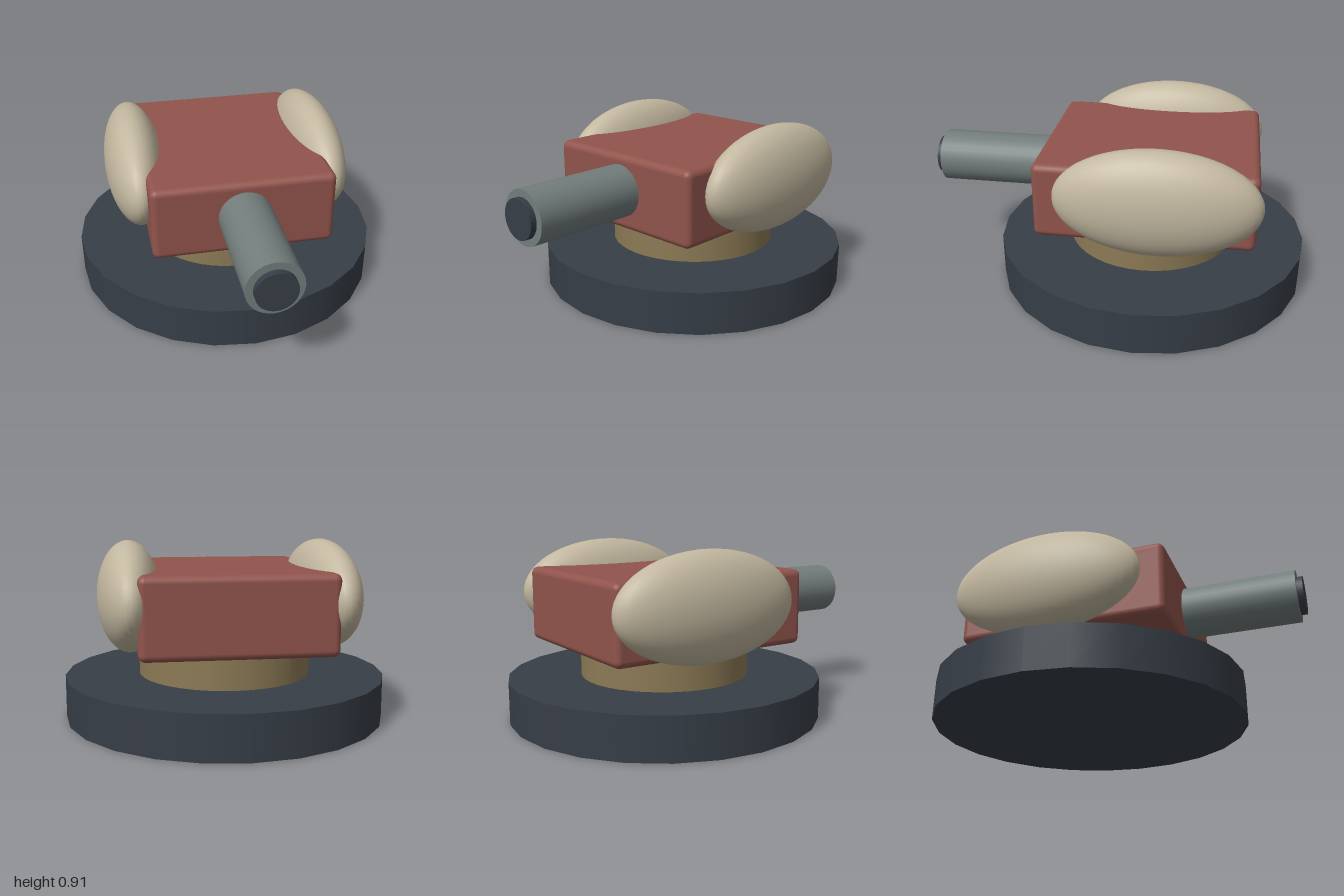
import * as THREE from 'three';
import { RoundedBoxGeometry } from 'three/addons/geometries/RoundedBoxGeometry.js';

const material = (name, color) => {
  const m = new THREE.MeshStandardMaterial({ color });
  m.name = name;
  return m;
};

export function createModel() {
  const group = new THREE.Group();
  const slate = material('dark slate', 0x373e47);
  const brass = material('dull brass', 0x8c7a55);
  const red = material('brick red', 0x91544c);
  const steel = material('grey steel', 0x727d7c);
  const cream = material('sand cream', 0xc2b79f);

  const add = (name, geometry, mat, x, y, z) => {
    const mesh = new THREE.Mesh(geometry, mat);
    mesh.name = name;
    mesh.position.set(x, y, z);
    group.add(mesh);
    return mesh;
  };

  // Cylinder lying along z, between two z positions
  const rod = (name, radius, z0, z1, mat) =>
    add(name, new THREE.CylinderGeometry(radius, radius, z1 - z0, 32).rotateX(Math.PI / 2),
      mat, 0, 0.592, (z0 + z1) / 2);

  const centreZ = -0.174;

  // Foot disc and swivel ring
  add('base', new THREE.CylinderGeometry(0.826, 0.826, 0.218, 24), slate, 0, 0.109, centreZ);
  add('swivelRing', new THREE.CylinderGeometry(0.445, 0.445, 0.2, 40), brass, 0, 0.3, centreZ);

  // Turret body with softened edges
  add('turretBody', new RoundedBoxGeometry(0.94, 0.392, 1.106, 4, 0.035), red, 0, 0.581, -0.176);

  // Barrel with a dark plug standing out of the muzzle
  rod('barrel', 0.137, 0.2, 0.969, steel);
  rod('muzzlePlug', 0.1, 0.9, 1.0, slate);

  // Ellipsoid side pods
  for (const [name, side] of [['leftPod', 1], ['rightPod', -1]]) {
    const pod = new THREE.SphereGeometry(1, 40, 28).scale(0.159, 0.275, 0.51);
    add(name, pod, cream, side * 0.496, 0.635, -0.245);
  }

  return group;
}
